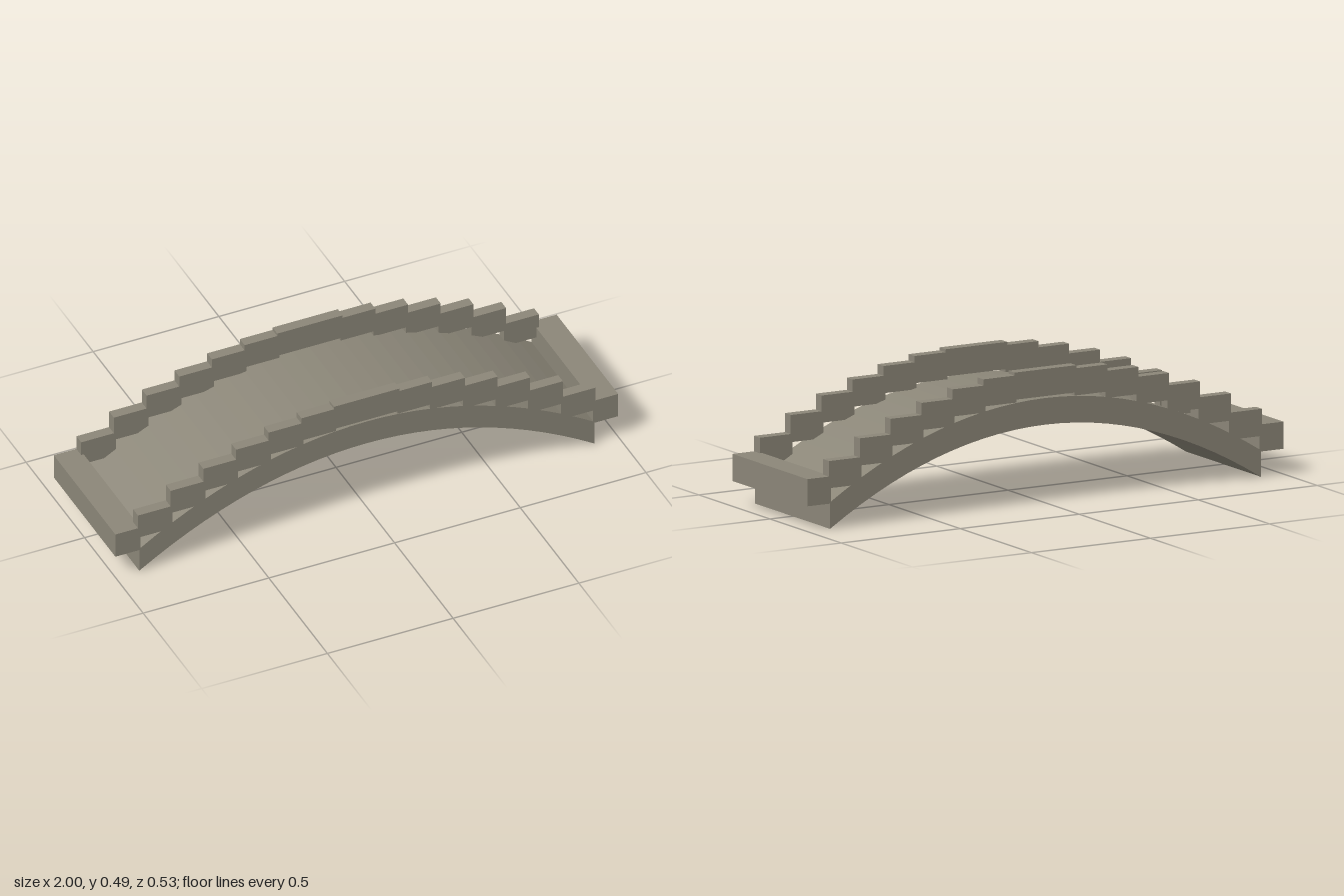
import * as THREE from 'three';

const HALF_SPAN = 0.905, HALF_WIDTH = 0.263, RAIL_WIDTH = 0.041, THICK = 0.098;

export function createModel() {
  const group = new THREE.Group();
  const stone = new THREE.MeshStandardMaterial({ color: 0x8b8678, flatShading: true });

  const addBox = (name, x0, x1, y0, y1, z0, z1) => {
    const mesh = new THREE.Mesh(new THREE.BoxGeometry(x1 - x0, y1 - y0, z1 - z0), stone);
    mesh.position.set((x0 + x1) / 2, (y0 + y1) / 2, (z0 + z1) / 2);
    mesh.name = name;
    group.add(mesh);
  };

  // Arched deck: constant vertical thickness under a parabola
  const SEGMENTS = 28;
  const archY = (x) => 0.288 * (1 - (x / HALF_SPAN) ** 2);
  const lower = [], upper = [];
  for (let i = 0; i <= SEGMENTS; i++) {
    const x = HALF_SPAN * (2 * i / SEGMENTS - 1);
    lower.push(new THREE.Vector2(x, archY(x)));
    upper.unshift(new THREE.Vector2(x, archY(x) + THICK));
  }
  const deckGeometry = new THREE.ExtrudeGeometry(new THREE.Shape([...lower, ...upper]), {
    depth: 2 * HALF_WIDTH, bevelEnabled: false,
  });
  deckGeometry.translate(0, 0, -HALF_WIDTH);
  const deck = new THREE.Mesh(deckGeometry, stone);
  deck.name = 'archDeck';
  group.add(deck);

  // Stepped railings: overlapping blocks falling away from a flat crown
  const PITCH = 0.13, OVERLAP = 0.008;
  const stepTops = [0.482, 0.459, 0.423, 0.378, 0.32, 0.25];
  for (const side of [-1, 1]) {
    const zMid = side * (HALF_WIDTH - RAIL_WIDTH / 2);
    const z0 = zMid - RAIL_WIDTH / 2, z1 = zMid + RAIL_WIDTH / 2;
    addBox('railCrown', -PITCH, PITCH, 0.393, 0.493, z0, z1);
    stepTops.forEach((top, i) => {
      const inner = PITCH * (i + 1) - OVERLAP, outer = PITCH * (i + 2);
      addBox('railStep', inner, outer, top - 0.1, top, z0, z1);
      addBox('railStep', -outer, -inner, top - 0.1, top, z0, z1);
    });
  }

  // Cross blocks closing both ends
  addBox('endBlockLeft', 0.9, 1, 0.093, 0.193, -HALF_WIDTH, HALF_WIDTH);
  addBox('endBlockRight', -1, -0.9, 0.093, 0.193, -HALF_WIDTH, HALF_WIDTH);

  return group;
}
